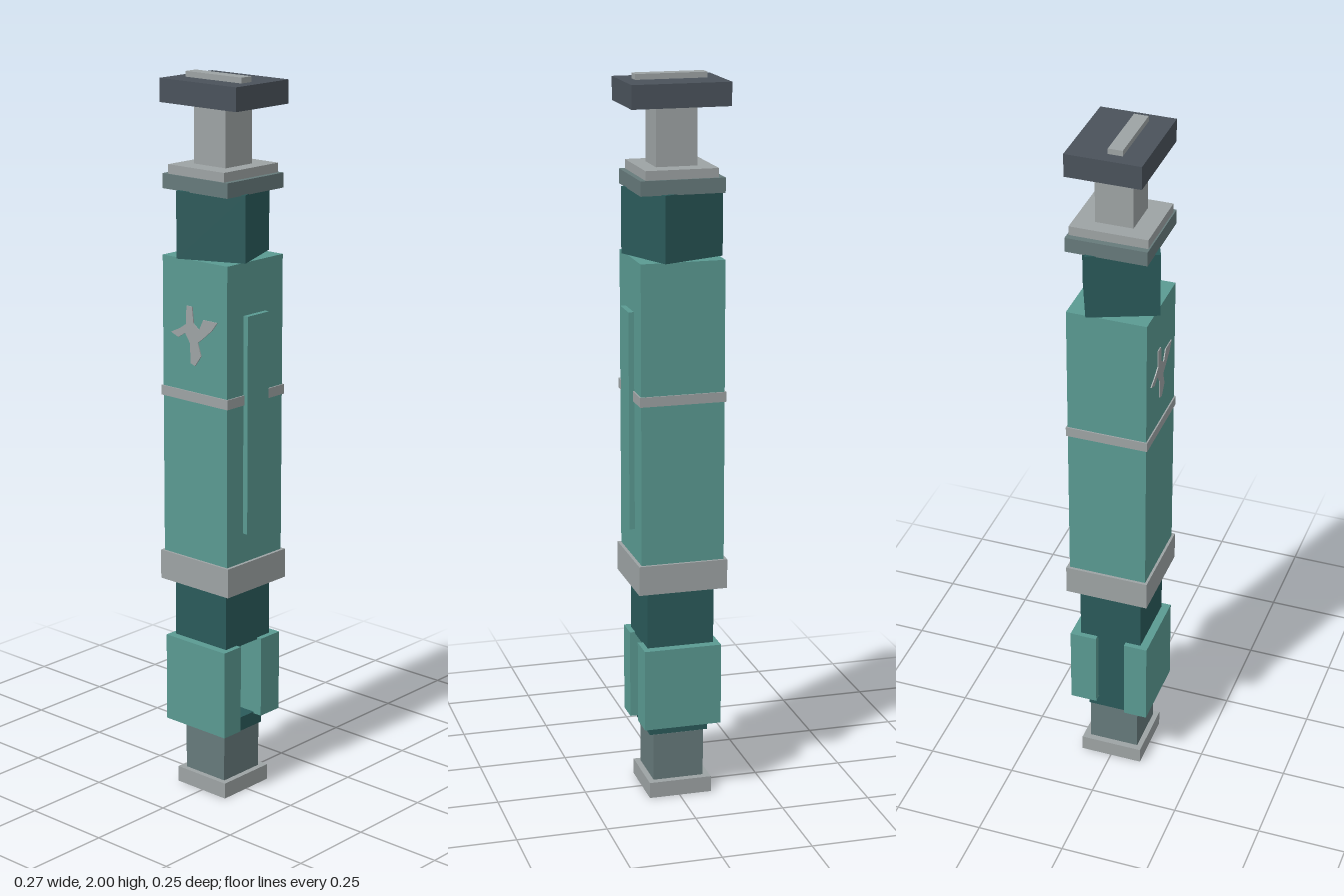
import * as THREE from 'three';

export function createModel() {
  const root = new THREE.Group();
  const mat = (name, color) => {
    const m = new THREE.MeshStandardMaterial({ color });
    m.name = name;
    return m;
  };
  const lightTeal = mat('light teal', 0x5a9a92);
  const darkTeal = mat('dark teal', 0x2a5a5a);
  const lightGrey = mat('light grey', 0x9da3a4);
  const tealGrey = mat('teal grey', 0x667a7b);
  const slate = mat('slate', 0x4a525b);

  // Box given by its lower and upper limit on each axis
  const box = (name, material, [x0, x1], [y0, y1], [z0, z1]) => {
    const mesh = new THREE.Mesh(new THREE.BoxGeometry(x1 - x0, y1 - y0, z1 - z0), material);
    mesh.position.set((x0 + x1) / 2, (y0 + y1) / 2, (z0 + z1) / 2);
    mesh.name = name;
    root.add(mesh);
    return mesh;
  };

  // Foot and base
  box('foot', lightGrey, [-0.091, 0.086], [0, 0.045], [-0.088, 0.09]);
  box('base', tealGrey, [-0.073, 0.07], [0.045, 0.18], [-0.068, 0.075]);

  // Slotted lower grip: floor plate, recessed core, front and back blocks
  box('gripFloor', darkTeal, [-0.085, 0.08], [0.18, 0.22], [-0.067, 0.073]);
  box('gripCore', darkTeal, [-0.09, 0.03], [0.22, 0.45], [-0.04, 0.05]);
  box('frontGrip', lightTeal, [-0.111, 0.106], [0.195, 0.445], [0.047, 0.114]);
  box('backGrip', lightTeal, [-0.111, 0.106], [0.215, 0.445], [-0.113, -0.037]);
  box('neck', darkTeal, [-0.096, 0.091], [0.44, 0.615], [-0.087, 0.091]);

  // Main body with bands and the raised panel on its left
  box('lowerBand', lightGrey, [-0.126, 0.122], [0.61, 0.692], [-0.117, 0.118]);
  box('body', lightTeal, [-0.118, 0.113], [0.69, 1.52], [-0.109, 0.111]);
  box('thinBand', lightGrey, [-0.122, 0.117], [1.135, 1.162], [-0.113, 0.115]);
  box('sidePanel', lightTeal, [0.1, 0.128], [0.775, 1.378], [-0.038, 0.047]);

  // Flat abstract four-armed patch on the front
  const outline = [
    [-0.087, 1.315], [-0.055, 1.33], [-0.032, 1.345], [-0.03, 1.395], [-0.01, 1.395],
    [-0.005, 1.35], [0.015, 1.335], [0.03, 1.365], [0.08, 1.365], [0.06, 1.34],
    [0.03, 1.315], [0.01, 1.3], [0.022, 1.265], [0, 1.235], [-0.015, 1.24],
    [-0.018, 1.295], [-0.035, 1.32], [-0.06, 1.305],
  ];
  const patch = new THREE.Mesh(
    new THREE.ExtrudeGeometry(new THREE.Shape(outline.map(([x, y]) => new THREE.Vector2(x, y))),
      { depth: 0.004, bevelEnabled: false }),
    lightGrey);
  patch.position.z = 0.11;
  patch.name = 'frontPatch';
  root.add(patch);

  // Twisted upper ring
  const ring = box('twistedRing', darkTeal, [-0.098, 0.094], [1.52, 1.7], [-0.096, 0.096]);
  ring.rotation.y = 0.39;

  // Collars, plunger stem and cap
  box('collar', tealGrey, [-0.117, 0.113], [1.698, 1.738], [-0.11, 0.111]);
  box('upperCollar', lightGrey, [-0.1, 0.098], [1.738, 1.763], [-0.105, 0.107]);
  box('stem', lightGrey, [-0.057, 0.055], [1.76, 1.925], [-0.05, 0.053]);
  box('cap', slate, [-0.135, 0.134], [1.922, 1.985], [-0.103, 0.101]);
  box('capStrip', lightGrey, [-0.099, 0.097], [1.985, 2], [0, 0.039]);

  return root;
}
